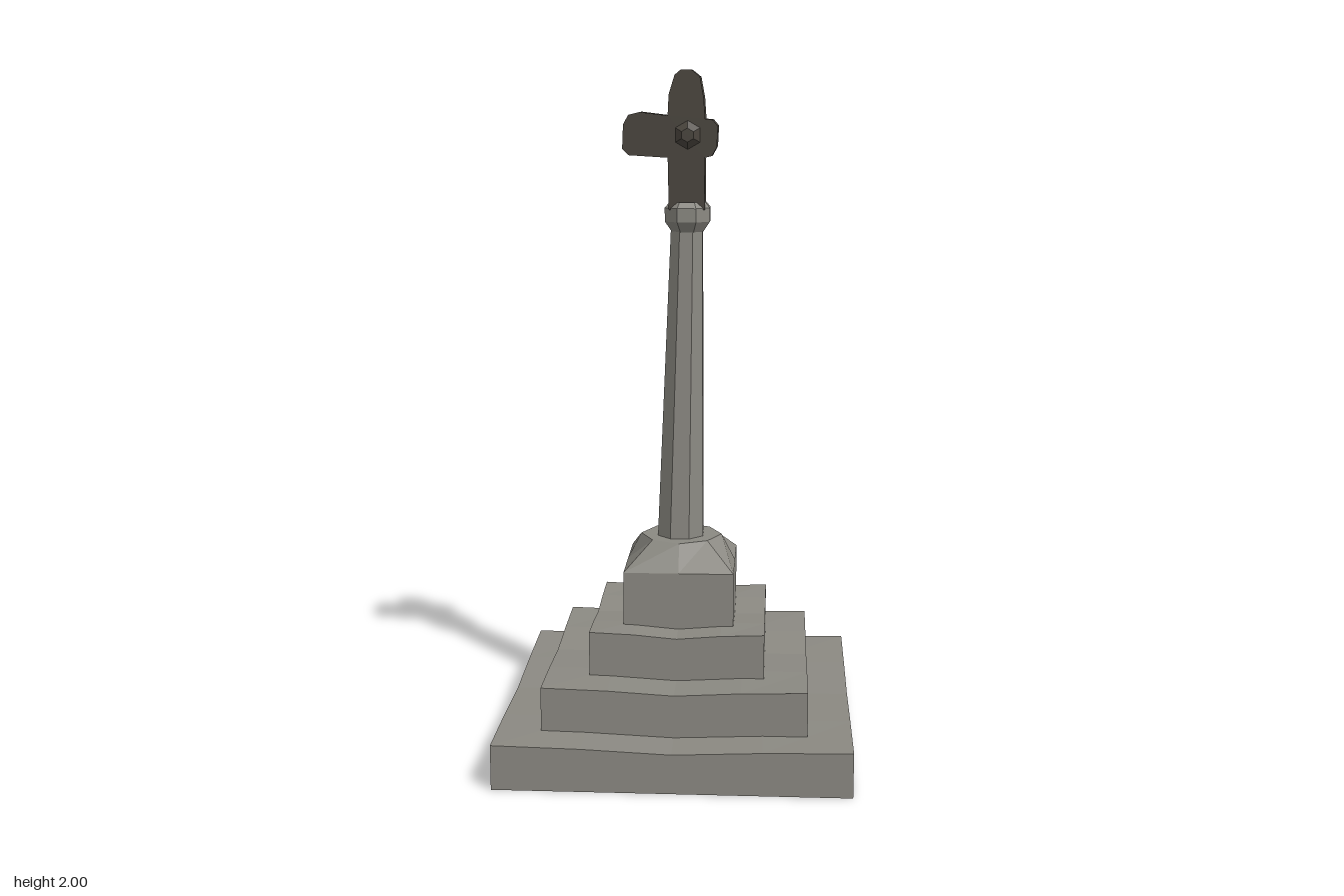
import * as THREE from 'three';

const stone = new THREE.MeshStandardMaterial({ color: 0x8b8982, flatShading: true, side: THREE.DoubleSide });
stone.name = 'weathered stone';
const darkStone = new THREE.MeshStandardMaterial({ color: 0x4a453e, flatShading: true, side: THREE.DoubleSide });
darkStone.name = 'dark stone';

function add(group, name, geometry, material) {
  const mesh = new THREE.Mesh(geometry, material);
  mesh.name = name;
  group.add(mesh);
  return mesh;
}

// Open-bottomed square slab whose top edges are worn down in the middle
function wornStep(half, bottom, top) {
  const g = new THREE.BoxGeometry(half * 2, top - bottom, half * 2, 4, 1, 4);
  const under = g.groups[3];
  const index = Array.from(g.index.array);
  index.splice(under.start, under.count);
  g.setIndex(index);
  g.clearGroups();
  g.translate(0, (top + bottom) / 2, 0);
  const wear = (t) => (t < 0.25 ? 0.016 : t < 0.75 ? 0.005 : 0);
  const p = g.attributes.position;
  for (let i = 0; i < p.count; i++) {
    if (p.getY(i) < top - 0.001) continue;
    const u = Math.abs(p.getX(i)) / half, v = Math.abs(p.getZ(i)) / half;
    p.setY(i, top - Math.max(wear(u), wear(v)));
  }
  g.computeVertexNormals();
  return g;
}

// Skin through eight-point rings listed from bottom to top, closed at the top
function loft(rings) {
  const pos = [], index = [];
  rings.forEach((ring) => ring.forEach((q) => pos.push(...q)));
  for (let r = 0; r < rings.length - 1; r++) {
    for (let k = 0; k < 8; k++) {
      const a = r * 8 + k, b = r * 8 + (k + 1) % 8;
      index.push(a, a + 8, b, b, a + 8, b + 8);
    }
  }
  const t = (rings.length - 1) * 8;
  for (let k = 1; k < 7; k++) index.push(t, t + k + 1, t + k);
  const g = new THREE.BufferGeometry();
  g.setAttribute('position', new THREE.Float32BufferAttribute(pos, 3));
  g.setIndex(index);
  g.computeVertexNormals();
  return g;
}

// Ring with separate reach along the axes and the diagonals
function squareRing(y, axis, diagonal) {
  return Array.from({ length: 8 }, (_, k) => {
    const a = k * Math.PI / 4;
    const r = k % 2 ? diagonal * Math.SQRT2 : axis;
    return [Math.cos(a) * r, y, Math.sin(a) * r];
  });
}

// Regular octagon with flat faces to the front and sides
function octagon(y, apothem, cx, cz) {
  const r = apothem / Math.cos(Math.PI / 8);
  return Array.from({ length: 8 }, (_, k) => {
    const a = (k + 0.5) * Math.PI / 4;
    return [cx + Math.cos(a) * r, y, cz + Math.sin(a) * r];
  });
}

export function createModel() {
  const model = new THREE.Group();
  model.name = 'stoneCross';

  // Three worn steps
  [[0.51, 0, 0.132], [0.383, 0.116, 0.258], [0.256, 0.241, 0.385]].forEach(([half, bottom, top], i) =>
    add(model, 'step' + (i + 1), wornStep(half, bottom, top), stone));

  // Square plinth narrowing to an octagon
  add(model, 'plinth', loft([
    squareRing(0.368, 0.163, 0.163),
    squareRing(0.54, 0.163, 0.163),
    squareRing(0.62, 0.122, 0.082),
  ]), stone);

  // Leaning octagonal shaft
  add(model, 'shaft', loft([
    octagon(0.61, 0.068, -0.002, 0),
    octagon(1.56, 0.046, 0.016, -0.012),
  ]), stone);

  // Collar under the cross
  add(model, 'collar', loft([
    [1.535, 0.046], [1.565, 0.066], [1.605, 0.066], [1.622, 0.052],
  ].map(([y, r]) => octagon(y, r, 0.018, -0.009)), stone ? [] : []), stone);

  // Cross with one broken arm
  const outline = [
    [-0.035, 1.6], [0.07, 1.6], [0.068, 1.75], [0.09, 1.755], [0.104, 1.78], [0.107, 1.84],
    [0.092, 1.858], [0.07, 1.86], [0.066, 1.92], [0.055, 1.98], [0.03, 2], [0, 2],
    [-0.018, 1.985], [-0.035, 1.93], [-0.038, 1.87], [-0.12, 1.88], [-0.152, 1.872],
    [-0.167, 1.845], [-0.17, 1.775], [-0.152, 1.757], [-0.038, 1.75],
  ].map(([x, y]) => new THREE.Vector2(x, y));
  const cross = new THREE.ExtrudeGeometry(new THREE.Shape(outline), { depth: 0.094, bevelEnabled: false });
  cross.translate(0, 0, -0.057);
  add(model, 'cross', cross, darkStone);

  // Faceted boss on both faces of the cross
  for (const s of [1, -1]) {
    const boss = add(model, s > 0 ? 'frontBoss' : 'backBoss',
      new THREE.CylinderGeometry(0.02, 0.045, 0.02, 6), darkStone);
    boss.rotation.x = s * Math.PI / 2;
    boss.position.set(0.02, 1.815, -0.01 + s * 0.054);
  }
  return model;
}
